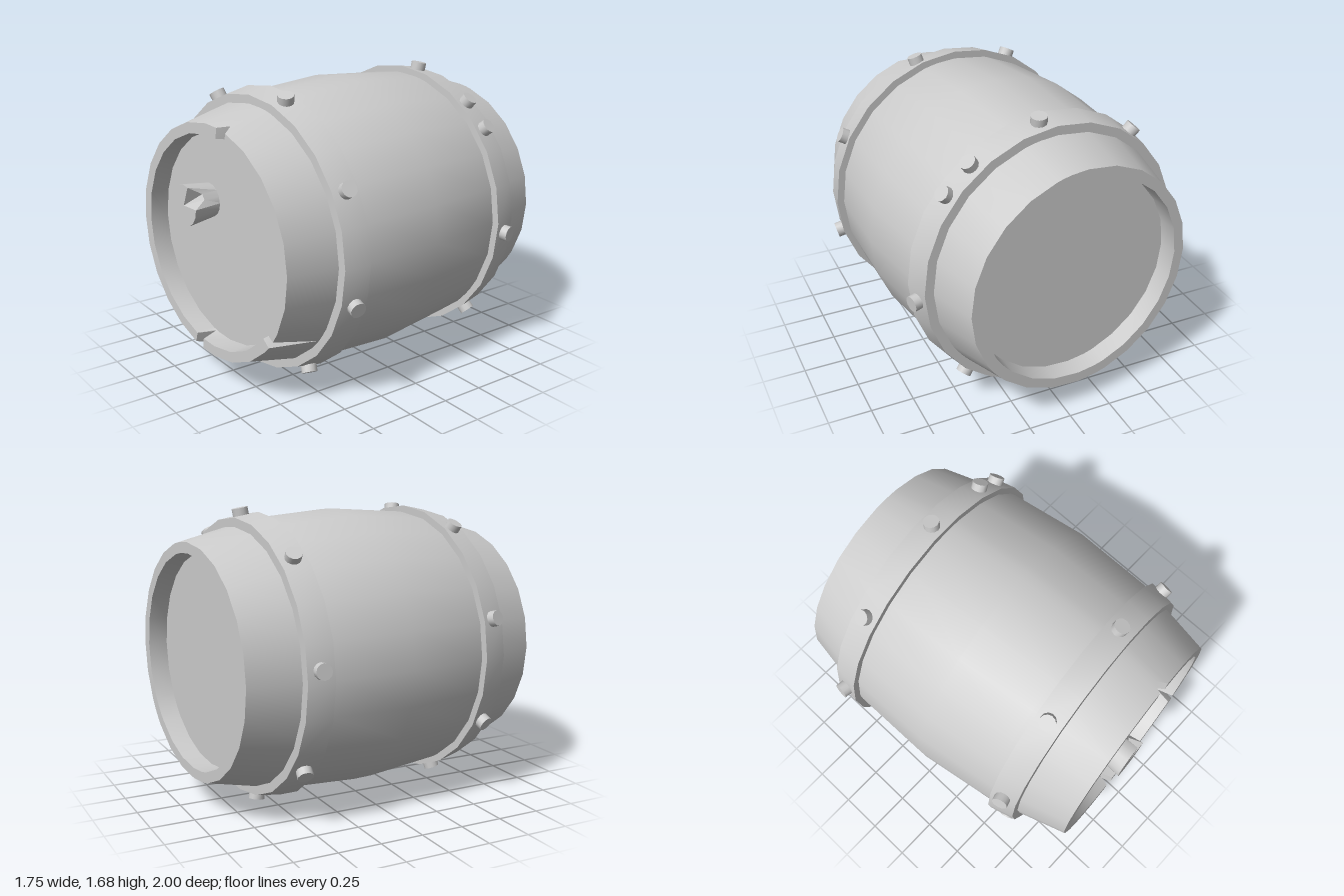
import * as THREE from 'three';
import { toCreasedNormals } from 'three/addons/utils/BufferGeometryUtils.js';

const SIDES = 24;
const rad = THREE.MathUtils.degToRad;
const material = new THREE.MeshStandardMaterial({ color: 0xcccccc, side: THREE.DoubleSide });

function addMesh(parent, name, geometry) {
  const mesh = new THREE.Mesh(geometry, material);
  mesh.name = name;
  parent.add(mesh);
  return mesh;
}

// Chips in the front rim: angle and half width in degrees, depth along the staves
const CHIPS = [
  { angle: 78, half: 3.5, depth: 0.06 },
  { angle: 257, half: 3, depth: 0.12 },
  { angle: 321.5, half: 2.5, depth: 0.27 },
];

// Barrel body revolved about z, with V-shaped chips pulled back from the front rim
function barrelGeometry() {
  const profile = [
    [0.82, 0], [0.82, 0.6], [0.93, 0.605], [0.93, 0.665], [0.47, 0.775], [0, 0.81],
    [-0.47, 0.775], [-0.93, 0.665], [-0.93, 0.605], [-0.82, 0.6], [-0.82, 0],
  ];
  const columns = [];
  for (let i = 0; i < SIDES; i++) {
    const angle = (i * 360) / SIDES;
    if (CHIPS.every((c) => Math.abs(c.angle - angle) > c.half + 1.5)) columns.push({ angle, depth: 0 });
  }
  for (const c of CHIPS) {
    columns.push({ angle: c.angle - c.half, depth: 0 });
    columns.push({ angle: c.angle, depth: c.depth });
    columns.push({ angle: c.angle + c.half, depth: 0 });
  }
  columns.sort((a, b) => a.angle - b.angle);

  const n = columns.length;
  const positions = [];
  const index = [];
  profile.forEach(([z, r], row) => {
    for (const { angle, depth } of columns) {
      let pz = z;
      let pr = r;
      if (row === 2) pz -= Math.min(depth, 0.1);
      if (row === 3) {
        pz -= depth;
        pr += depth * 0.24;
      }
      positions.push(pr * Math.cos(rad(angle)), pr * Math.sin(rad(angle)), pz);
    }
  });
  for (let row = 0; row < profile.length - 1; row++) {
    for (let j = 0; j < n; j++) {
      const k = (j + 1) % n;
      const a = row * n + j, b = row * n + k, c = a + n, d = b + n;
      if (profile[row][1] > 0) index.push(a, c, b);
      if (profile[row + 1][1] > 0) index.push(b, c, d);
    }
  }
  const geometry = new THREE.BufferGeometry();
  geometry.setAttribute('position', new THREE.Float32BufferAttribute(positions, 3));
  geometry.setIndex(index);
  return toCreasedNormals(geometry, 0.5);
}

// Hoop with a sloped outer face, between z0 (back) and z1 (front)
function hoopGeometry(z0, r0, z1, r1) {
  const inner = 0.7;
  const points = [[inner, z0], [r0, z0], [r1, z1], [inner, z1]].map(([r, z]) => new THREE.Vector2(r, z));
  return toCreasedNormals(new THREE.LatheGeometry(points, SIDES).rotateX(Math.PI / 2), 0.5);
}

// Ring of round rivets; tilt leans them with the slope of the hoop
function addRivets(parent, name, z, tilt, angles) {
  const rivet = toCreasedNormals(
    new THREE.CylinderGeometry(0.045, 0.045, 0.07, 12).rotateZ(-Math.PI / 2).rotateY(-tilt), 0.6);
  for (const angle of angles) {
    const pivot = new THREE.Group();
    pivot.rotation.z = rad(angle);
    addMesh(pivot, name, rivet).position.set(0.8, 0, z);
    parent.add(pivot);
  }
}

// Tapered bung with its upper right edge broken away
function bungGeometry() {
  const geometry = new THREE.CylinderGeometry(0.118, 0.095, 0.18, 16).rotateX(Math.PI / 2);
  const p = geometry.attributes.position;
  for (let i = 0; i < p.count; i++) {
    const x = p.getX(i), y = p.getY(i), z = p.getZ(i);
    const angle = THREE.MathUtils.radToDeg(Math.atan2(y, x));
    if (z > 0 && Math.hypot(x, y) > 0.01 && angle > 5 && angle < 60) {
      p.setXYZ(i, x * 0.75, y * 0.75, z - 0.08);
    }
  }
  return toCreasedNormals(geometry, 0.5);
}

export function createModel() {
  const model = new THREE.Group();
  model.name = 'model';

  // The barrel lies on its side, turned slightly about the vertical
  const barrel = new THREE.Group();
  barrel.name = 'barrel';
  barrel.position.set(0.008, 0.835, -0.01);
  barrel.rotation.y = rad(5.1);
  model.add(barrel);

  addMesh(barrel, 'barrelBody', barrelGeometry());
  addMesh(barrel, 'frontHoop', hoopGeometry(0.5, 0.81, 0.65, 0.78));
  addMesh(barrel, 'backHoop', hoopGeometry(-0.645, 0.785, -0.495, 0.81));

  // Eight evenly spaced rivets per hoop, with one spare at the back
  const eight = (start) => Array.from({ length: 8 }, (_, i) => start + i * 45);
  addRivets(barrel, 'frontRivet', 0.57, 0.2, eight(29));
  addRivets(barrel, 'backRivet', -0.57, -0.17, [...eight(40), 54]);

  addMesh(barrel, 'bung', bungGeometry()).position.set(-0.15, 0.195, 0.9);
  return model;
}
